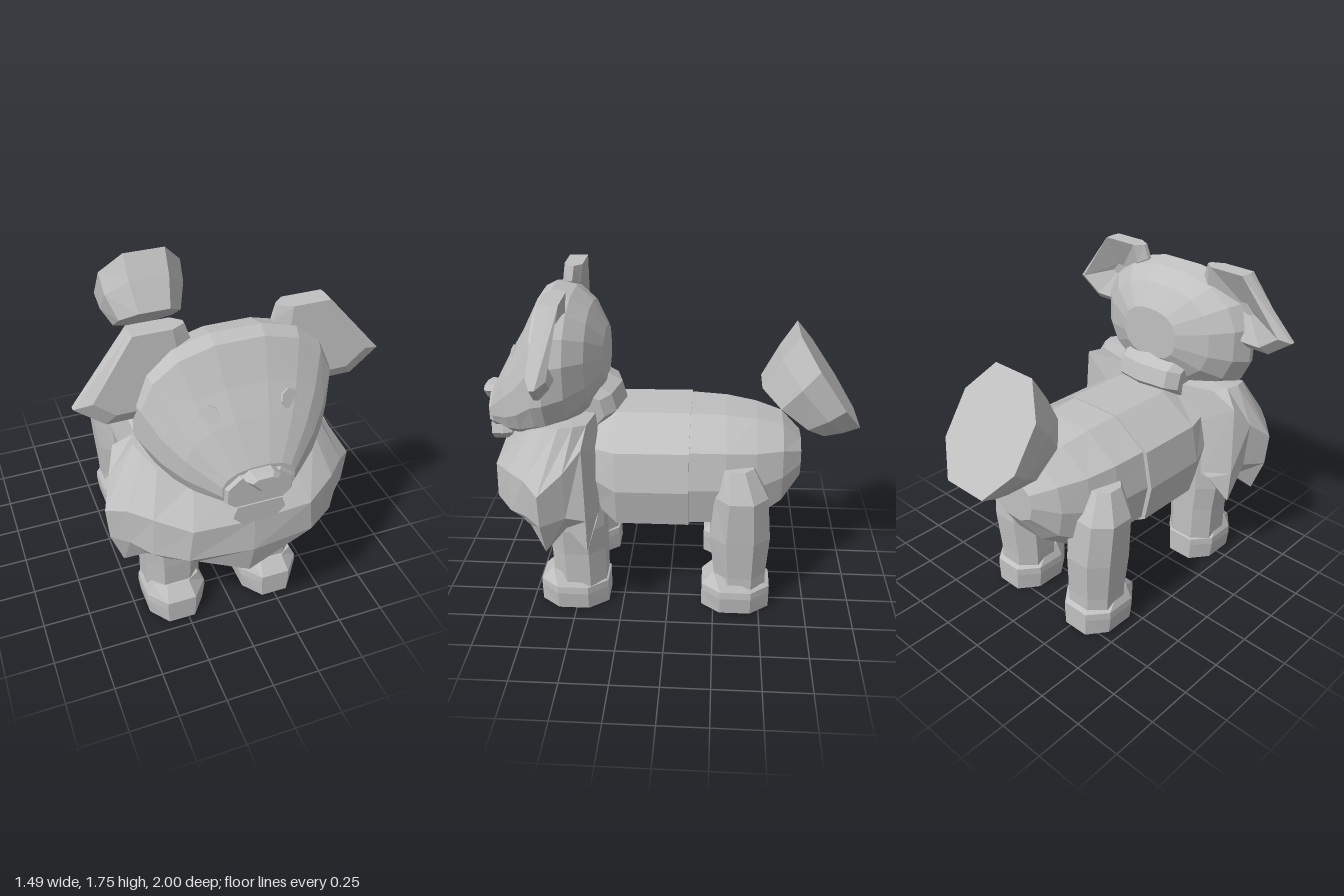
import * as THREE from 'three';

const fur = new THREE.MeshStandardMaterial({ color: 0xc0c0c0 });
fur.name = 'grey fur';
fur.flatShading = true;

// Skin a list of equal-length point rings, close both ends, and face it outward
function loft(rings) {
  const n = rings[0].length, pos = rings.flat(2), idx = [];
  for (let r = 0; r < rings.length - 1; r++) {
    for (let i = 0; i < n; i++) {
      const a = r * n + i, b = r * n + (i + 1) % n;
      idx.push(a, b, a + n, b, b + n, a + n);
    }
  }
  [0, rings.length - 1].forEach((r, end) => {
    const c = pos.length / 3;
    for (let k = 0; k < 3; k++) pos.push(rings[r].reduce((s, p) => s + p[k], 0) / n);
    for (let i = 0; i < n; i++) {
      const a = r * n + i, b = r * n + (i + 1) % n;
      if (end) idx.push(a, b, c); else idx.push(b, a, c);
    }
  });
  const at = i => new THREE.Vector3(pos[3 * i], pos[3 * i + 1], pos[3 * i + 2]);
  let volume = 0;
  for (let i = 0; i < idx.length; i += 3) volume += at(idx[i]).dot(at(idx[i + 1]).cross(at(idx[i + 2])));
  if (volume < 0) idx.reverse();
  let g = new THREE.BufferGeometry();
  g.setAttribute('position', new THREE.Float32BufferAttribute(pos, 3));
  g.setIndex(idx);
  g = g.toNonIndexed();
  g.computeVertexNormals();
  return g;
}

// Octagon with half sizes a, b and corner cuts given as ratios
const octagon = (a, b, ka = 0.48, kb = 0.45) => [
  [a * ka, b], [a, b * kb], [a, -b * kb], [a * ka, -b],
  [-a * ka, -b], [-a, -b * kb], [-a, b * kb], [-a * ka, b]];

// Ten-sided torso section with half sizes a, b
const decagon = (a, b) => [
  [a * 0.38, b], [a * 0.9, b * 0.6], [a, 0], [a * 0.9, -b * 0.62], [a * 0.35, -b],
  [-a * 0.35, -b], [-a * 0.9, -b * 0.62], [-a, 0], [-a * 0.9, b * 0.6], [-a * 0.38, b]];

export function createModel() {
  const model = new THREE.Group();
  const add = (name, geometry) => {
    const mesh = new THREE.Mesh(geometry, fur);
    mesh.name = name;
    model.add(mesh);
    return mesh;
  };

  // Torso in two barrels: [z, half width, top, bottom]
  const barrel = rows => loft(rows.map(([z, w, top, low]) =>
    decagon(w, (top - low) / 2).map(([x, y]) => [x - 0.008, y + (top + low) / 2, z])));
  add('chest', barrel([[0.6, 0.34, 1.0, 0.55], [0.38, 0.38, 1.06, 0.53], [0.27, 0.41, 1.08, 0.405], [-0.11, 0.41, 1.085, 0.405]]));
  add('hindquarters', barrel([[-0.1, 0.385, 1.08, 0.41], [-0.3, 0.365, 1.07, 0.41], [-0.46, 0.32, 1.045, 0.43],
    [-0.6, 0.25, 1.005, 0.53], [-0.7, 0.14, 0.91, 0.68]]));

  // Legs and feet: [y, half width, half depth, z centre, outward shift]
  const limb = (rows, s) => loft(rows.map(([y, hx, hz, z, out = 0]) =>
    octagon(hx, hz).map(([x, d]) => [s * (0.27 + out) + x - 0.017, y, z + d])));
  for (const s of [1, -1]) {
    const side = s > 0 ? 'left' : 'right';
    add(side + 'FrontLeg', limb([[0.1, 0.145, 0.14, 0.48], [0.35, 0.15, 0.145, 0.485], [0.5, 0.158, 0.145, 0.485, 0.008], [0.7, 0.15, 0.145, 0.485]], s));
    add(side + 'HindLeg', limb([[0.1, 0.14, 0.14, -0.39], [0.22, 0.142, 0.14, -0.39], [0.45, 0.15, 0.16, -0.385, 0.012],
      [0.7, 0.16, 0.14, -0.385, 0.02], [0.855, 0.09, 0.085, -0.36, 0.02]], s));
    for (const [part, z] of [['FrontFoot', 0.515], ['HindFoot', -0.37]]) {
      add(side + part, limb([[0, 0.15, 0.185, z], [0.1, 0.163, 0.185, z], [0.14, 0.16, 0.185, z], [0.21, 0.125, 0.075, z + 0.045]], s));
    }
  }

  // Mane: half rings from front to back, mirrored; the last ring is spiked
  const halves = [
    [[0, 1.02, 0.78], [0.25, 1.02, 0.76], [0.4, 1.08, 0.68], [0.45, 1.12, 0.6],
      [0.47, 1.13, 0.53], [0.45, 1.13, 0.46], [0.4, 1.12, 0.4], [0.2, 1.1, 0.38]],
    [[0, 0.84, 0.92], [0.3, 0.84, 0.9], [0.46, 0.88, 0.8], [0.56, 0.88, 0.7],
      [0.645, 0.84, 0.62], [0.59, 0.94, 0.5], [0.54, 1.05, 0.41], [0.3, 0.9, 0.36]],
    [[0, 0.66, 0.935], [0.32, 0.66, 0.9], [0.47, 0.66, 0.8], [0.55, 0.67, 0.7],
      [0.63, 0.66, 0.62], [0.57, 0.68, 0.5], [0.56, 0.66, 0.4], [0.4, 0.62, 0.36]],
    [[0, 0.475, 0.89], [0.25, 0.56, 0.83], [0.39, 0.565, 0.76], [0.47, 0.57, 0.7],
      [0.565, 0.475, 0.61], [0.5, 0.58, 0.51], [0.55, 0.475, 0.4], [0.44, 0.6, 0.36]]];
  add('mane', loft(halves.map(h => [...h, ...h.slice(1).reverse().map(([x, y, z]) => [-x, y, z])])));

  // Tuft at the nape
  const nape = [[0.42, 1.26], [0.34, 1.245], [0.26, 1.2], [0.235, 1.11], [0.31, 1.03], [0.42, 1.02]];
  add('napeTuft', loft([[-0.21, 0.1], [-0.16, 0.04], [0, 0], [0.16, 0.04], [0.21, 0.1]].map(([x, d]) =>
    nape.map(([z, y]) => [x, y - d * 0.3, z + d]))));

  // Head: squarish oval rings, [z, top, bottom, half width]
  const headRows = [[0.335, 1.5, 1.22, 0.18], [0.41, 1.62, 1.1, 0.35], [0.5, 1.69, 1.02, 0.45], [0.6, 1.715, 0.97, 0.49],
    [0.66, 1.685, 0.96, 0.47], [0.75, 1.51, 0.95, 0.4], [0.83, 1.38, 0.95, 0.32], [0.935, 1.19, 0.975, 0.18]];
  const pow = v => Math.sign(v) * Math.abs(v) ** 0.85;
  add('head', loft(headRows.map(([z, top, low, w]) => Array.from({ length: 16 }, (_, i) => {
    const a = (i + 0.5) * Math.PI / 8;
    return [w * pow(Math.cos(a)), (top + low) / 2 + (top - low) / 2 * pow(Math.sin(a)), z];
  }))));

  // Snout, nose and chin
  add('snout', loft([[0.85, 1], [0.935, 1], [0.953, 0.93]].map(([z, k]) =>
    octagon(0.168 * k, 0.098 * k, 0.6, 0.4).map(([x, y]) => [x, 1.063 + y, z]))));
  const nose = [[-0.05, 1.18], [0.05, 1.18], [0.085, 1.155], [0.015, 1.08], [-0.015, 1.08], [-0.085, 1.155]];
  add('nose', loft([[0.9, 1], [0.975, 1], [1.0, 0.7]].map(([z, k]) => nose.map(([x, y]) => [x * k, 1.14 + (y - 1.14) * k, z]))));
  const chin = [[-0.11, 0.99], [0.11, 0.99], [0.13, 0.93], [0.08, 0.88], [-0.08, 0.88], [-0.13, 0.93]];
  add('chin', loft([[0.85, 0.9], [0.9, 1], [0.96, 1]].map(([z, k]) => chin.map(([x, y]) => [x * k, 0.935 + (y - 0.935) * k, z]))));

  // Eyes, and ears hollowed at the back
  const earShape = [[0.744, 1.445], [0.47, 1.755], [0.22, 1.755], [0.195, 1.68], [0.3, 1.45], [0.47, 1.34], [0.605, 1.34]];
  for (const s of [1, -1]) {
    const side = s > 0 ? 'left' : 'right';
    const eye = add(side + 'Eye', new THREE.CylinderGeometry(0.047, 0.047, 0.03, 8).rotateX(Math.PI / 2));
    eye.position.set(s * 0.19, 1.41, 0.782);
    eye.lookAt(s * (0.19 + 0.32), 1.41 + 0.42, 0.782 + 1);
    add(side + 'Ear', loft([[0.02, 0.15], [-0.045, 0.8], [-0.005, 1], [0.02, 1], [0.055, 0.72]].map(([d, k]) =>
      earShape.map(([x, y]) => {
        const ey = 1.55 + (y - 1.55) * (y > 1.7 && k > 0.5 ? 1 : k);
        return [s * (0.45 + (x - 0.45) * k), ey, 0.56 + d - (ey - 1.55) * 0.12];
      }))));
  }

  // Floating tail tuft, from the narrow lower end to the broad upper end:
  // [z centre, y centre, half width, z half extent, y half extent]
  add('tailTuft', loft([[-0.65, 1.065, 0.19, 0.17, 0.135], [-0.745, 1.165, 0.24, 0.172, 0.2], [-0.83, 1.25, 0.25, 0.17, 0.25]]
    .map(([z, y, w, dz, dy]) => octagon(w, 1, 0.5, 0.42).map(([x, t]) => [x - 0.03, y + dy * t, z + dz * t]))));

  return model;
}
